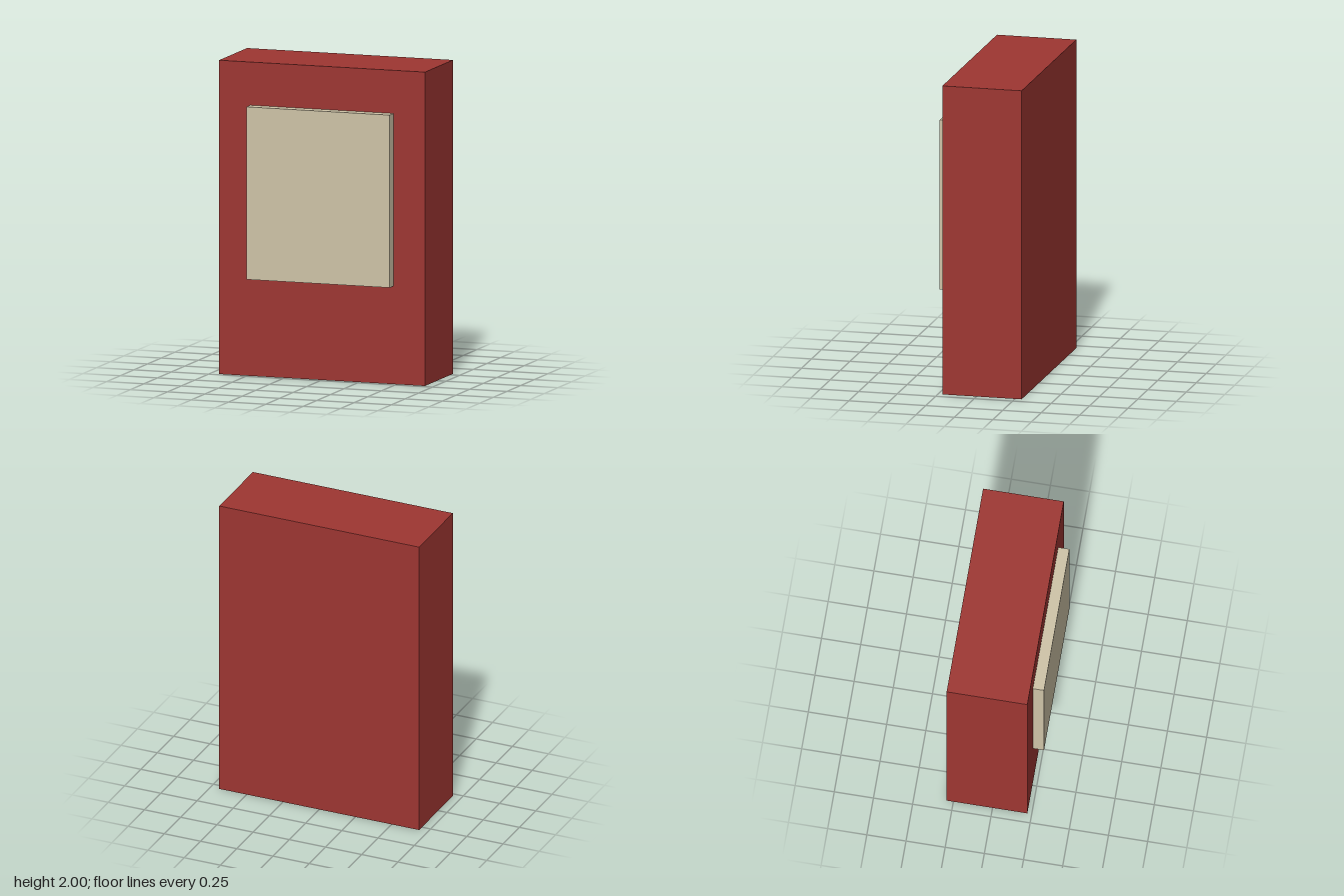
import * as THREE from 'three';

export function createModel() {
  const group = new THREE.Group();

  // Box given by its size, bottom height and back plane
  const addBox = (name, color, [w, h, d], bottom, back) => {
    const mesh = new THREE.Mesh(
      new THREE.BoxGeometry(w, h, d),
      new THREE.MeshStandardMaterial({ color })
    );
    mesh.name = name;
    mesh.position.set(0, bottom + h / 2, back + d / 2);
    group.add(mesh);
  };

  // Upright slab
  addBox('body', 0x9e3632, [1.38, 2, 0.515], 0, -0.293);
  // Raised panel on the front face
  addBox('frontPanel', 0xcfc4a8, [0.96, 1.1, 0.071], 0.625, 0.222);

  return group;
}
